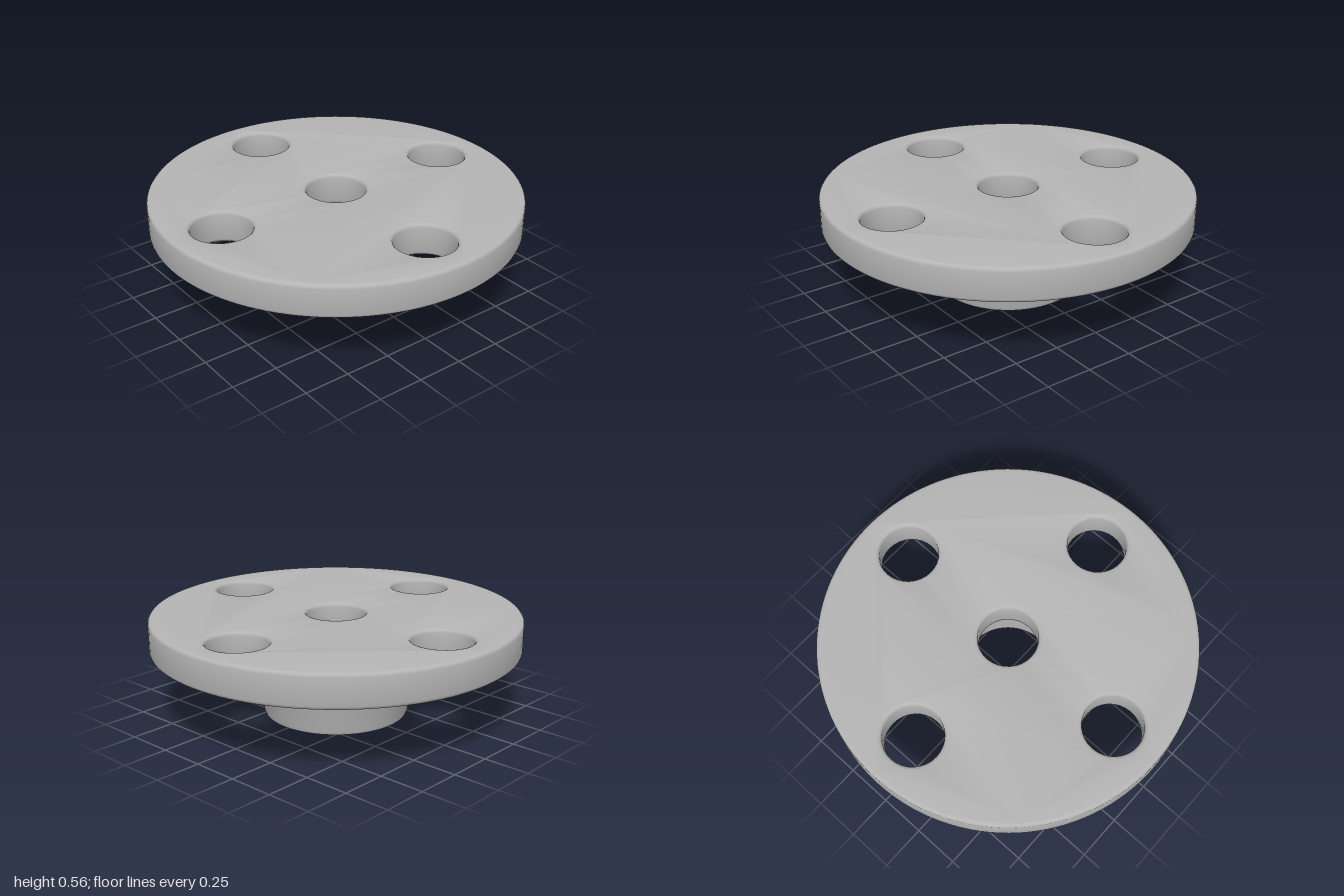
import * as THREE from 'three';
import { toCreasedNormals } from 'three/addons/utils/BufferGeometryUtils.js';

const DISC_BOTTOM = 0.385, DISC_TOP = 0.565;
const HOLE_RADIUS = 0.16, HOLE_OFFSET = 0.717;

function circlePoints(x, y, radius, sides) {
  return Array.from({ length: sides }, (_, i) => {
    const a = (i / sides) * Math.PI * 2;
    return new THREE.Vector2(x + Math.cos(a) * radius, y + Math.sin(a) * radius);
  });
}

export function createModel() {
  const group = new THREE.Group();
  group.name = 'flangedHub';
  const grey = new THREE.MeshStandardMaterial({ color: 0xb4b4b4 });
  grey.name = 'grey';

  const add = (name, geometry) => {
    const mesh = new THREE.Mesh(toCreasedNormals(geometry, 0.6), grey);
    mesh.name = name;
    group.add(mesh);
  };

  // Round plate with a centre hole and four bolt holes, edges softened
  const plate = new THREE.Shape(circlePoints(0, 0, 1, 128));
  const centres = [[0, 0]];
  for (let i = 0; i < 4; i++) {
    const a = (i * Math.PI) / 2;
    centres.push([Math.cos(a) * HOLE_OFFSET, Math.sin(a) * HOLE_OFFSET]);
  }
  for (const [x, y] of centres) plate.holes.push(new THREE.Path(circlePoints(x, y, HOLE_RADIUS, 32)));
  const bevel = 0.02;
  const disc = new THREE.ExtrudeGeometry(plate, {
    depth: DISC_TOP - DISC_BOTTOM - 2 * bevel,
    bevelThickness: bevel, bevelSize: bevel, bevelOffset: -bevel, bevelSegments: 3,
  });
  disc.rotateX(-Math.PI / 2);
  disc.translate(0, DISC_BOTTOM + bevel, 0);
  add('flangeDisc', disc);

  // Hollow hub below the plate: wide bore, rounded lower rim, small fillet on top
  const profile = [
    [0.262, DISC_BOTTOM], [0.262, 0.02], [0.275, 0.003],
    [0.37, 0.003], [0.388, 0.01], [0.396, 0.03],
    [0.396, 0.365], [0.406, DISC_BOTTOM],
  ].map(([r, y]) => new THREE.Vector2(r, y));
  add('hub', new THREE.LatheGeometry(profile, 80));

  return group;
}
